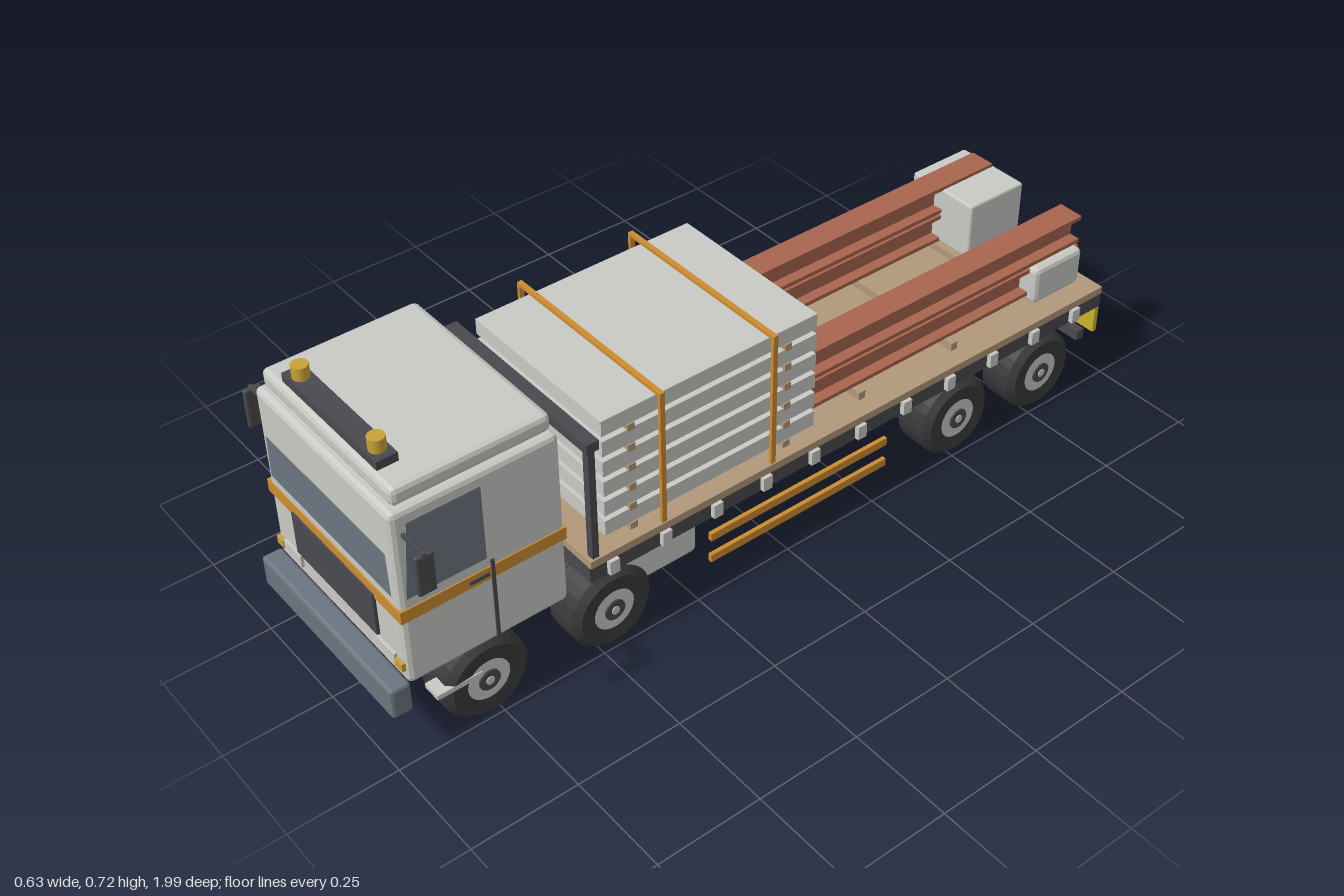
import * as THREE from 'three';
import { RoundedBoxGeometry } from 'three/addons/geometries/RoundedBoxGeometry.js';

const mat = (name, color, side = THREE.FrontSide) => {
  const m = new THREE.MeshStandardMaterial({ color, side });
  m.name = name;
  return m;
};

export function createModel() {
  const root = new THREE.Group();
  root.name = 'flatbedTruck';
  const light = mat('lightGrey', 0xc9cac5);
  const dark = mat('darkGrey', 0x4a494e);
  const rubber = mat('rubber', 0x39393b);
  const glass = mat('blueGrey', 0x6b7580, THREE.DoubleSide);
  const orange = mat('orange', 0xcc8c30);
  const amber = mat('amber', 0xc9a138);
  const yellow = mat('yellow', 0xc9b42e);
  const rust = mat('rustRed', 0xa8654f);
  const wood = mat('wood', 0xb1987a);
  const red = mat('warningRed', 0xb8483c, THREE.DoubleSide);

  const add = (name, geo, m, parent = root) => {
    const mesh = new THREE.Mesh(geo, m);
    mesh.name = name;
    parent.add(mesh);
    return mesh;
  };
  // Box given by its limits on each axis
  const box = (name, m, x0, x1, y0, y1, z0, z1, bevel = 0, parent = root) => {
    const w = x1 - x0, h = y1 - y0, d = z1 - z0;
    let geo = bevel ? new RoundedBoxGeometry(w, h, d, 1, bevel) : new THREE.BoxGeometry(w, h, d);
    if (bevel) {
      if (geo.index) geo = geo.toNonIndexed();
      geo.computeVertexNormals();
    }
    const mesh = add(name, geo, m, parent);
    mesh.position.set((x0 + x1) / 2, (y0 + y1) / 2, (z0 + z1) / 2);
    return mesh;
  };
  // Same box on both sides of the truck
  const pair = (name, m, x0, x1, ...rest) => {
    box(name + 'Left', m, x0, x1, ...rest);
    box(name + 'Right', m, -x1, -x0, ...rest);
  };
  const polygon = (pts) => new THREE.ShapeGeometry(new THREE.Shape(pts.map(p => new THREE.Vector2(...p))));

  // Cab shell, roof and bumper
  box('cab', light, -0.243, 0.243, 0.2, 0.63, 0.575, 0.95, 0.012);
  box('roofCap', light, -0.232, 0.232, 0.633, 0.675, 0.583, 0.935, 0.012);
  box('roofSeam', light, -0.222, 0.222, 0.625, 0.64, 0.593, 0.925);
  box('frontBumper', glass, -0.245, 0.245, 0.135, 0.21, 0.948, 0.995, 0.007);
  box('cabBand', orange, -0.246, 0.246, 0.365, 0.395, 0.574, 0.953);

  // Front face details
  add('windscreen', polygon([[-0.221, 0.42], [0.221, 0.42], [0.217, 0.525], [-0.217, 0.525]]), glass)
    .position.z = 0.953;
  box('grille', dark, -0.15, 0.15, 0.268, 0.374, 0.95, 0.957);
  pair('headlight', light, 0.142, 0.207, 0.23, 0.26, 0.949, 0.957);
  pair('indicator', amber, 0.21, 0.235, 0.234, 0.254, 0.949, 0.958);

  // Doors, mirrors and steps
  for (const s of [1, -1]) {
    const w = add(s > 0 ? 'sideWindowLeft' : 'sideWindowRight',
      polygon([[-0.935, 0.42], [-0.757, 0.42], [-0.757, 0.6], [-0.918, 0.6]]), glass);
    w.rotation.y = Math.PI / 2;
    w.position.x = s * 0.2455;
  }
  pair('doorSeam', dark, 0.242, 0.2465, 0.205, 0.41, 0.741, 0.749);
  pair('doorHandle', dark, 0.242, 0.249, 0.376, 0.384, 0.755, 0.8);
  pair('mirrorArm', dark, 0.24, 0.314, 0.573, 0.58, 0.922, 0.93);
  pair('mirror', dark, 0.302, 0.315, 0.482, 0.576, 0.905, 0.945, 0.004);
  pair('step', light, 0.2, 0.245, 0.123, 0.135, 0.79, 0.895);

  // Roof light bar with beacons
  box('lightBar', dark, -0.168, 0.168, 0.675, 0.695, 0.875, 0.922);
  for (const x of [-0.135, 0.135])
    add('beacon', new THREE.CylinderGeometry(0.018, 0.018, 0.03, 16), amber).position.set(x, 0.71, 0.898);

  // Chassis rails and cross members
  pair('chassisRail', dark, 0.07, 0.108, 0.15, 0.207, -0.955, 0.9);
  for (const z of [0.88, 0.62, 0.3, -0.05, -0.3, -0.65, -0.94])
    box('crossMember', dark, -0.08, 0.08, 0.16, 0.195, z - 0.015, z + 0.015);

  // Wheels and axles
  const tyre = new THREE.LatheGeometry([
    [0.05, -0.05], [0.085, -0.0525], [0.1, -0.038], [0.1, 0.038], [0.085, 0.0525], [0.05, 0.05],
  ].map(p => new THREE.Vector2(...p)), 28).toNonIndexed();
  tyre.computeVertexNormals();
  const disc = (r, h) => new THREE.CylinderGeometry(r, r, h, 24);
  for (const z of [0.775, 0.465, -0.515, -0.785]) {
    const axle = add('axle', disc(0.018, 0.34), dark);
    axle.rotation.z = Math.PI / 2;
    axle.position.set(0, 0.102, z);
    for (const s of [1, -1]) {
      const wheel = new THREE.Group();
      wheel.name = 'wheel';
      wheel.position.set(s * 0.1925, 0.102, z);
      wheel.rotation.z = -s * Math.PI / 2;
      add('tyre', tyre, rubber, wheel);
      add('rim', disc(0.056, 0.1), light, wheel);
      add('hub', disc(0.025, 0.108), dark, wheel);
      add('hubCap', disc(0.01, 0.112), light, wheel);
      root.add(wheel);
    }
  }

  // Tank, storage box and side guards
  box('fuelTank', light, 0.12, 0.23, 0.122, 0.205, 0.237, 0.475, 0.012);
  box('storageBox', dark, -0.23, -0.12, 0.117, 0.205, 0.24, 0.42);
  for (const y of [0.075, 0.135]) pair('sideGuard', orange, 0.228, 0.238, y, y + 0.02, -0.297, 0.205);

  // Load bed with edge clips
  box('bedFrame', dark, -0.24, 0.24, 0.205, 0.247, -0.975, 0.52);
  box('bedFloor', wood, -0.245, 0.245, 0.247, 0.266, -0.97, 0.52);
  for (let i = 0; i < 11; i++) {
    const z = 0.465 - i * 0.1345;
    pair('edgeClip', light, 0.238, 0.252, 0.21, 0.245, z - 0.012, z + 0.012);
  }

  // Headboard frame
  pair('headboardPost', dark, 0.222, 0.24, 0.25, 0.56, 0.495, 0.511);
  box('headboardRail', dark, -0.245, 0.245, 0.545, 0.568, 0.487, 0.517);

  // Rear warning board with chevron stripes and underrun bar
  box('warningBoard', yellow, -0.222, 0.222, 0.113, 0.205, -0.997, -0.985);
  box('boardBracket', dark, -0.15, 0.15, 0.15, 0.205, -0.987, -0.95);
  for (const s of [1, -1]) for (let i = 0; i < 4; i++) {
    const x = 0.005 + i * 0.054;
    const pts = [[x, 0.115], [x + 0.024, 0.115], [x + 0.07, 0.203], [x + 0.046, 0.203]];
    add('warningStripe', polygon(pts.map(([a, b]) => [s * Math.min(a, 0.22), b])), red).position.z = -0.9985;
  }
  box('underrunBar', dark, -0.2, 0.2, 0.087, 0.113, -0.98, -0.957);

  // Stacked slabs on bearers
  for (let i = 0; i < 6; i++) {
    const y = 0.283 + i * 0.0515;
    box('slab', light, -0.215, 0.215, y, y + 0.038, -0.095, 0.46);
    for (const z of [0.39, -0.016])
      box('bearer', wood, -0.218, 0.218, y - 0.017, y, z - 0.009, z + 0.009);
  }

  // Load straps over the slabs
  for (const z of [0.33, 0.04]) {
    pair('strapSide', orange, 0.234, 0.242, 0.26, 0.6, z - 0.006, z + 0.006);
    box('strapTop', orange, -0.242, 0.242, 0.592, 0.6, z - 0.006, z + 0.006);
  }

  // Steel beams in two layers
  const w = 0.0325, h = 0.0365, f = 0.01, t = 0.006;
  const half = [[t, -h + f], [t, h - f], [w, h - f], [w, h]];
  const profile = [[w, -h], [w, -h + f], ...half, [-w, h], [-w, h - f], [-t, h - f], [-t, -h + f], [-w, -h + f], [-w, -h]];
  const beam = new THREE.ExtrudeGeometry(new THREE.Shape(profile.map(p => new THREE.Vector2(...p))),
    { depth: 0.82, bevelEnabled: false });
  for (const x of [-0.147, 0.143]) for (const y of [0.322, 0.402])
    add('steelBeam', beam, rust).position.set(x, y, -0.948);
  for (const z of [-0.25, -0.53])
    box('dunnage', wood, -0.2, 0.2, 0.266, 0.286, z - 0.009, z + 0.009);

  // Crates at the rear
  box('pallet', wood, -0.225, -0.01, 0.266, 0.284, -0.965, -0.77);
  box('largeCrate', light, -0.215, -0.018, 0.284, 0.43, -0.955, -0.785, 0.005);
  box('smallCrate', light, 0.035, 0.198, 0.268, 0.365, -0.94, -0.787, 0.012);

  return root;
}
